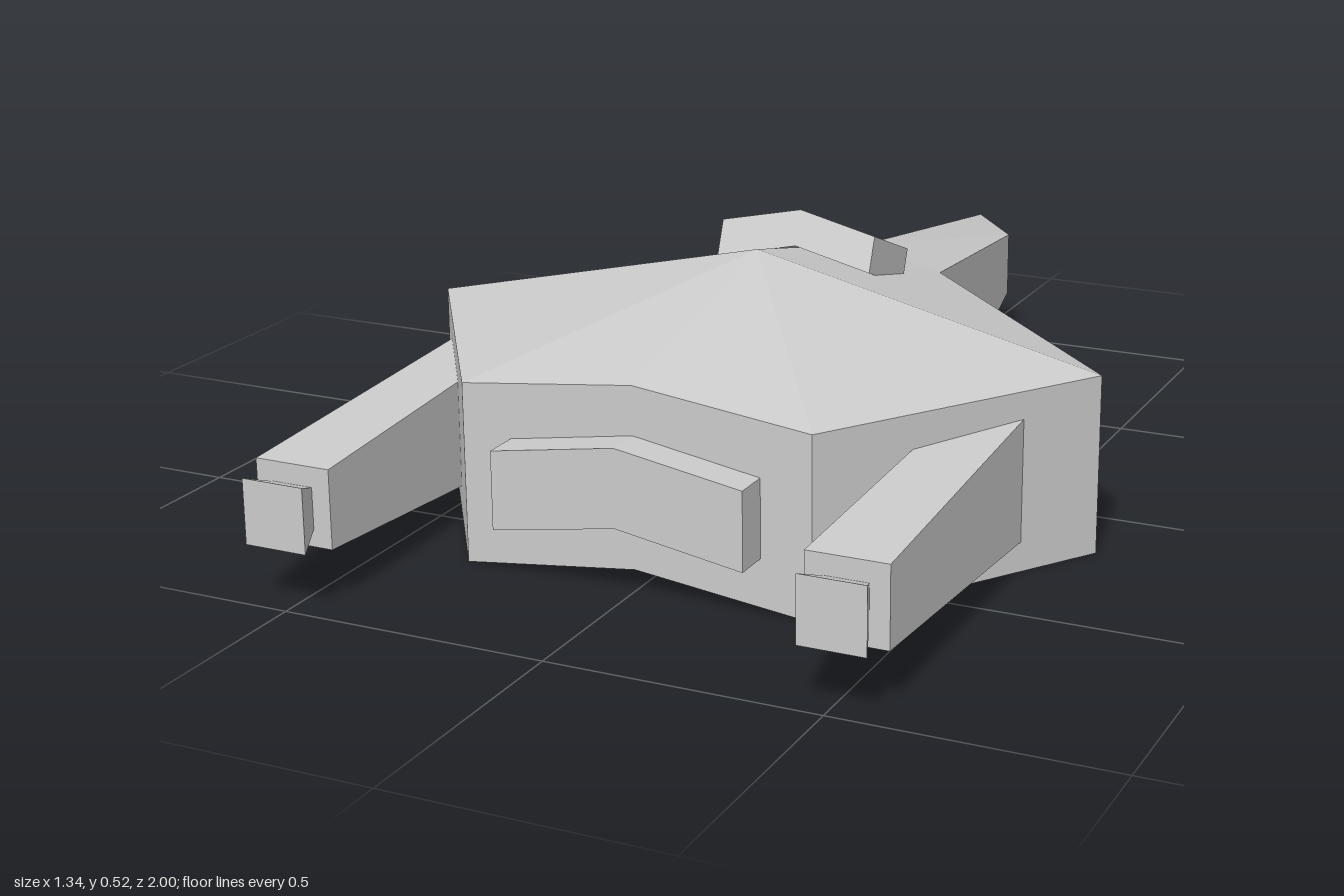
import * as THREE from 'three';

const material = new THREE.MeshStandardMaterial({ color: 0xcccccc, flatShading: true });

// Lofts roof-shaped sections along z, listed front to back.
// Section: [z, half width, side bottom, side top, ridge rise above, ridge rise below]
function loft(name, sections) {
  const rings = sections.map(([z, w, yb, yt, top = 0, bottom = top]) => [
    [-w, yb, z], [0, yb + bottom, z], [w, yb, z],
    [w, yt, z], [0, yt + top, z], [-w, yt, z],
  ]);
  const pos = [];
  const tri = (...pts) => pts.forEach((p) => pos.push(...p));
  for (let i = 0; i < rings.length - 1; i++) {
    const f = rings[i], b = rings[i + 1];
    const frontWider = sections[i][1] > sections[i + 1][1];
    for (let k = 0; k < 6; k++) {
      const n = (k + 1) % 6;
      // the diagonal starts at the ridge of the wider section
      const ridgeFirst = k === 1 || k === 4;
      if (ridgeFirst === frontWider) {
        tri(f[k], b[k], b[n]);
        tri(f[k], b[n], f[n]);
      } else {
        tri(f[k], b[k], f[n]);
        tri(b[k], b[n], f[n]);
      }
    }
  }
  // end caps, each half a quad
  const cap = (r, flip) => {
    for (const q of [[0, 1, 4, 5], [1, 2, 3, 4]]) {
      const [a, b, c, d] = (flip ? q.reverse() : q).map((i) => r[i]);
      tri(a, b, c);
      tri(a, c, d);
    }
  };
  cap(rings[0], false);
  cap(rings[rings.length - 1], true);
  const geometry = new THREE.BufferGeometry();
  geometry.setAttribute('position', new THREE.Float32BufferAttribute(pos, 3));
  geometry.computeVertexNormals();
  const mesh = new THREE.Mesh(geometry, material);
  mesh.name = name;
  return mesh;
}

export function createModel() {
  const model = new THREE.Group();
  model.name = 'spacecraft';

  // main body and tapering tail
  model.add(loft('hull', [
    [0.675, 0.335, 0, 0.335, 0.04],
    [0.175, 0.67, 0, 0.335, 0.155, 0.04],
    [-0.33, 0.165, 0, 0.335, 0.04],
    [-1, 0.068, 0.105, 0.24, 0.04],
  ]));

  // raised plate on the nose
  model.add(loft('frontPlate', [
    [0.745, 0.24, 0.1, 0.245, 0.04],
    [0.66, 0.24, 0.1, 0.245, 0.04],
  ]));

  // tilted plate on the roof
  const roof = loft('roofPlate', [
    [0.089, 0.158, -0.105, -0.035, 0.035],
    [-0.089, 0.158, -0.105, -0.035, 0.035],
  ]);
  roof.position.set(0, 0.4875, -0.1025);
  roof.rotation.x = -0.37;
  model.add(roof);

  for (const side of [1, -1]) {
    const prefix = side > 0 ? 'left' : 'right';

    // forward arm with a flared tip
    const arm = new THREE.Group();
    arm.name = prefix + 'Arm';
    arm.position.x = side * 0.513;
    arm.add(
      loft('armBody', [
        [0.94, 0.073, 0.1, 0.245],
        [0.3, 0.063, 0.055, 0.285],
      ]),
      loft('armTip', [
        [1, 0.06, 0.11, 0.23],
        [0.93, 0.034, 0.136, 0.204],
      ])
    );
    model.add(arm);

    // small block on the rear flank
    const block = new THREE.Mesh(new THREE.BoxGeometry(0.08, 0.08, 0.16), material);
    block.name = prefix + 'FlankBlock';
    block.position.set(side * 0.426, 0.17, -0.091);
    block.rotation.y = -side * Math.PI / 4;
    model.add(block);
  }

  return model;
}
